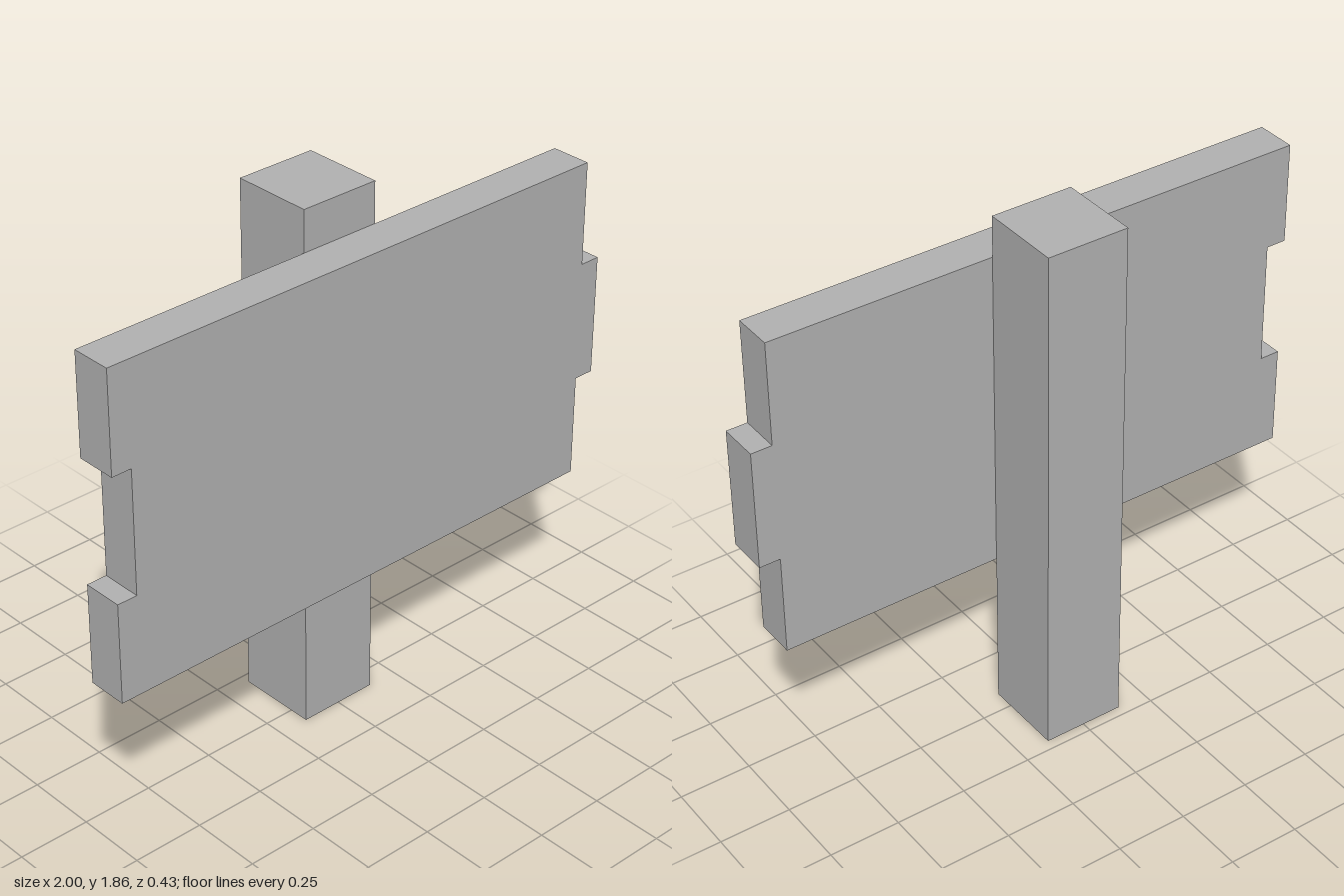
import * as THREE from 'three';

export function createModel() {
  const group = new THREE.Group();
  const grey = new THREE.MeshStandardMaterial({ color: 0xb2b2b2 });
  grey.name = 'grey';

  const add = (name, geometry, x, y, z) => {
    const mesh = new THREE.Mesh(geometry, grey);
    mesh.name = name;
    mesh.position.set(x, y, z);
    group.add(mesh);
  };

  // Square upright post standing behind the panel
  const postHeight = 1.859;
  add('post', new THREE.BoxGeometry(0.286, postHeight, 0.286), 0, postHeight / 2, -0.071);

  // Interlocking panel: notch on its right edge, matching tab on its left
  const outline = new THREE.Shape([
    [-1, 0.575], [0.927, 0.575],
    [0.927, 0.934], [1, 0.934], [1, 1.356], [0.927, 1.356],
    [0.927, 1.716], [-1, 1.716],
    [-1, 1.362], [-0.929, 1.362], [-0.929, 0.929], [-1, 0.929],
  ].map(([x, y]) => new THREE.Vector2(x, y)));
  const panel = new THREE.ExtrudeGeometry(outline, { depth: 0.142, bevelEnabled: false });
  add('panel', panel, 0, 0, 0.072);

  return group;
}
